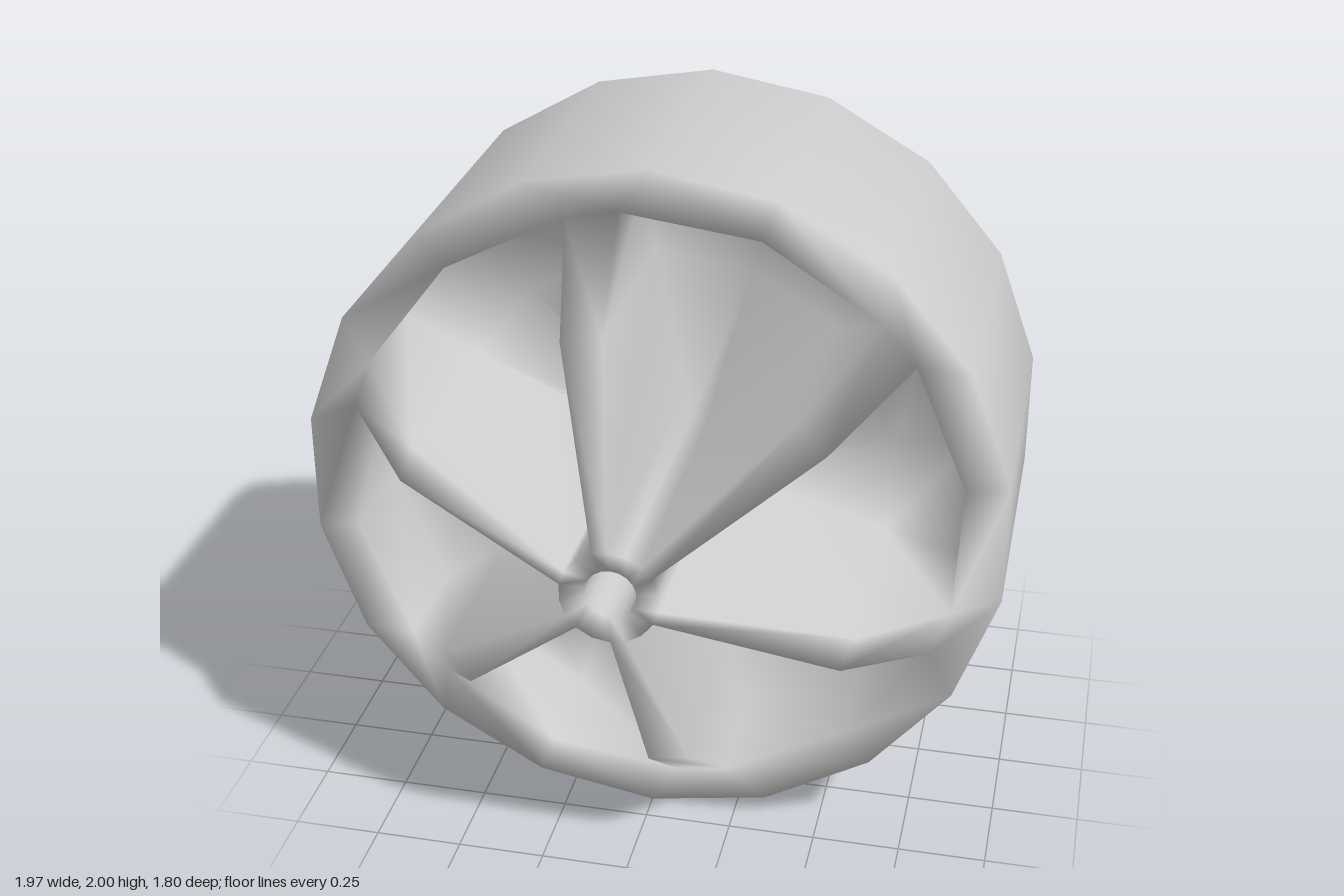
import * as THREE from 'three';
import { mergeGeometries, mergeVertices } from 'three/addons/utils/BufferGeometryUtils.js';

const HALF = 0.42;                 // half width of the drum
const FLOOR = 0.1;                 // depth of the pocket floors
const BORE = 0.07, HUB = 0.135, KNEE = 0.645, LIP = 0.88;

// Radius and height of one face, from the bore out to the drum
const PROFILE = [[BORE, 0.88], [HUB, 0.9], [KNEE, 0.7], [LIP, HALF], [1, HALF]];

// Half angle (degrees) covered by a tapering spoke at radius r
const spokeHalf = (r) => THREE.MathUtils.radToDeg(Math.asin((0.011 + 0.071 * r) / r));

function polar(r, deg, z) {
  const a = THREE.MathUtils.degToRad(deg);
  return [r * Math.cos(a), r * Math.sin(a), z];
}

// Quads between rows of points; keep(row, column) can leave cells open
function surface(rows, side, closed, keep = () => true) {
  const n = rows[0].length, index = [];
  for (let j = 0; j < rows.length - 1; j++) {
    for (let i = 0; i < (closed ? n : n - 1); i++) {
      if (!keep(j, i)) continue;
      const k = (i + 1) % n;
      const a = j * n + i, b = a + n, c = (j + 1) * n + k, d = j * n + k;
      if (side > 0) index.push(a, b, c, a, c, d);
      else index.push(a, c, b, a, d, c);
    }
  }
  const geometry = new THREE.BufferGeometry();
  geometry.setAttribute('position', new THREE.Float32BufferAttribute(rows.flat(2), 3));
  geometry.setIndex(index);
  return geometry;
}

// Bore, hubs, domed spokes, rims and drum as one loop of 18-point rings
function frame() {
  const ring = (r, z) => Array.from({ length: 18 }, (_, k) => {
    const even = r === BORE || r === 1;
    const offset = even ? -10 + 20 * (k % 3) : [-spokeHalf(r), spokeHalf(r), 30][k % 3];
    return polar(r, 100 + 60 * Math.floor(k / 3) + offset, z);
  });
  const front = PROFILE.map(([r, z]) => ring(r, z));
  const back = PROFILE.map(([r, z]) => ring(r, -z)).reverse();
  const gapRows = [1, 2, 6, 7];
  return surface([...front, ...back, front[0]], 1, true,
    (j, k) => !gapRows.includes(j) || k % 3 === 0);
}

// Deep hollow between two spokes: straight walls and a floor
function pocket(side, middle) {
  const point = (r, t, z) => polar(r, middle + t * (30 - spokeHalf(r)), side * z);
  const outline = [[1, -1], [1, 0], [1, 1], [2, 1], [3, 1], [3, 0], [3, -1], [2, -1]];
  const top = outline.map(([p, t]) => point(PROFILE[p][0], t, PROFILE[p][1]));
  const bottom = outline.map(([p, t]) => point(PROFILE[p][0], t, FLOOR));
  const floor = [HUB, KNEE, LIP].map((r) => [-1, 0, 1].map((t) => point(r, t, FLOOR)));
  return [surface([top, bottom], side, true), surface(floor, side, false)];
}

export function createModel() {
  const parts = [frame()];
  for (const side of [1, -1]) {
    for (let i = 0; i < 6; i++) parts.push(...pocket(side, 70 + 60 * i));
  }

  // Weld everything so the shading flows smoothly over all edges
  const body = mergeVertices(mergeGeometries(parts), 1e-4);
  body.computeVertexNormals();

  const wheel = new THREE.Mesh(body, new THREE.MeshStandardMaterial({ color: 0xcccccc }));
  wheel.name = 'spokedWheel';
  wheel.position.y = 1;

  const model = new THREE.Group();
  model.name = 'wheel';
  model.add(wheel);
  return model;
}
